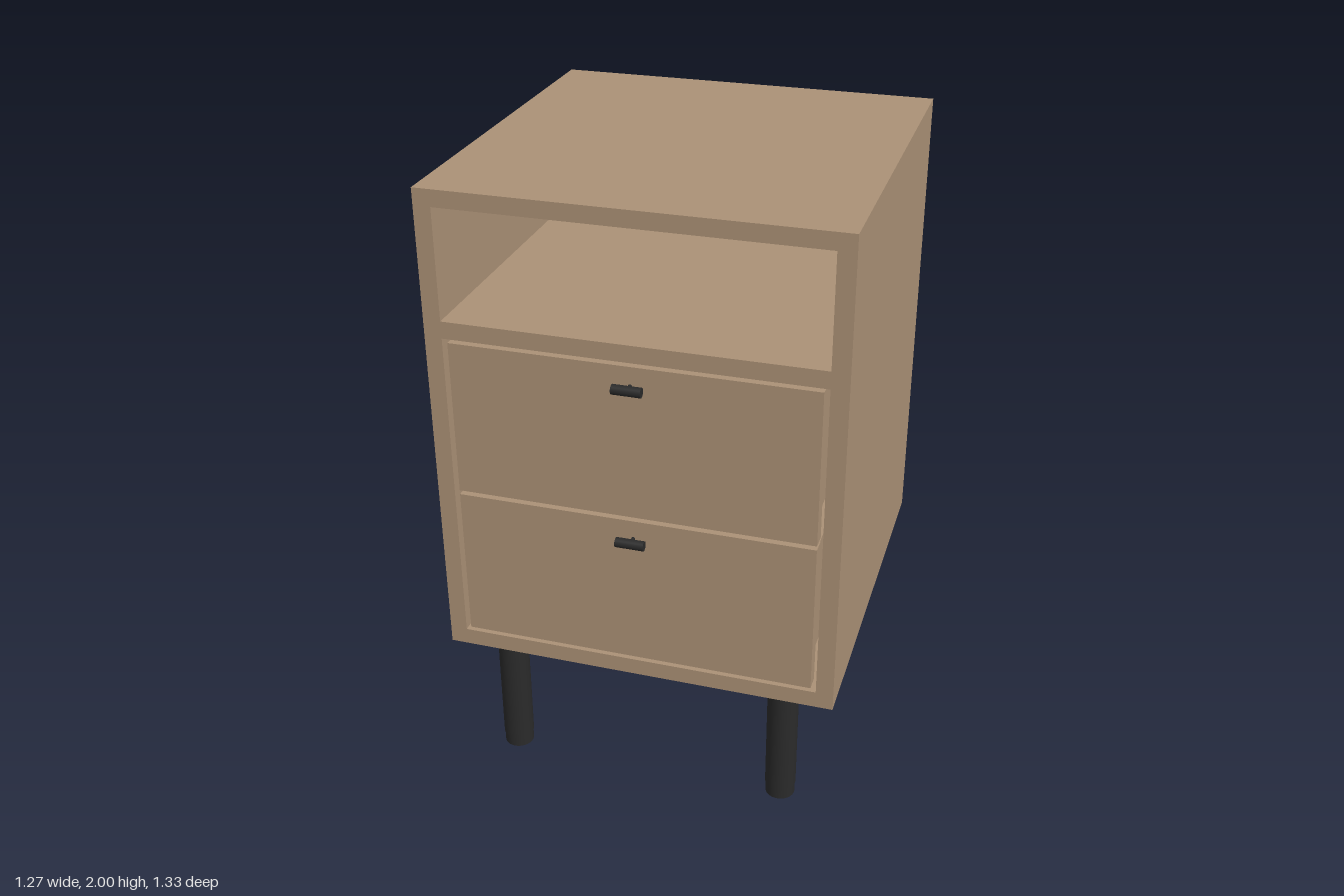
import * as THREE from 'three';

export function createModel() {
  const model = new THREE.Group();
  model.name = 'nightstand';

  const wood = new THREE.MeshStandardMaterial({ color: 0xab9176 });
  wood.name = 'light wood';
  const black = new THREE.MeshStandardMaterial({ color: 0x2a2a2a });
  black.name = 'black metal';

  function add(parent, name, geometry, material, x, y, z) {
    const mesh = new THREE.Mesh(geometry, material);
    mesh.name = name;
    mesh.position.set(x, y, z);
    parent.add(mesh);
    return mesh;
  }

  // Box given by its lower and upper corners
  function board(parent, name, [x0, y0, z0], [x1, y1, z1], material = wood) {
    return add(parent, name, new THREE.BoxGeometry(x1 - x0, y1 - y0, z1 - z0), material,
      (x0 + x1) / 2, (y0 + y1) / 2, (z0 + z1) / 2);
  }

  const W = 0.637, T = 0.055, IN = W - T;
  const FRONT = 0.619, BACK = -0.667;
  const FLOOR = 0.495, CEILING = 1.947;

  // Carcass
  board(model, 'topPanel', [-W, CEILING, BACK], [W, 2, FRONT]);
  board(model, 'bottomPanel', [-W, 0.44, BACK], [W, FLOOR, FRONT]);
  board(model, 'leftSide', [IN, FLOOR, BACK], [W, CEILING, FRONT]);
  board(model, 'rightSide', [-W, FLOOR, BACK], [-IN, CEILING, FRONT]);
  board(model, 'backPanel', [-IN, FLOOR, BACK + 0.002], [IN, CEILING, BACK + 0.05]);
  board(model, 'shelf', [-IN, 1.54, BACK + 0.05], [IN, 1.595, FRONT]);

  // Drawers, each with a front, an open box and a bar handle
  for (const [name, y0, y1] of [['lowerDrawer', 0.508, 1.011], ['upperDrawer', 1.025, 1.528]]) {
    const drawer = new THREE.Group();
    drawer.name = name;
    model.add(drawer);
    board(drawer, 'drawerFront', [-0.565, y0, FRONT - 0.05], [0.565, y1, FRONT]);

    const low = y0 + 0.03, high = y1 - 0.08, rear = -0.55, face = FRONT - 0.05;
    board(drawer, 'drawerBottom', [-0.54, low, rear], [0.54, low + 0.02, face]);
    board(drawer, 'drawerBack', [-0.54, low + 0.02, rear], [0.54, high, rear + 0.03]);
    for (const s of [-1, 1]) {
      add(drawer, 'drawerSide', new THREE.BoxGeometry(0.03, high - low - 0.02, face - rear - 0.03), wood,
        s * 0.525, (high + low + 0.02) / 2, (face + rear + 0.03) / 2);
    }

    const handleY = y1 - 0.061;
    const stem = add(drawer, 'handleStem', new THREE.CylinderGeometry(0.006, 0.006, 0.035, 16), black,
      0, handleY, FRONT + 0.0165);
    stem.rotation.x = Math.PI / 2;
    const bar = add(drawer, 'handleBar', new THREE.CylinderGeometry(0.0155, 0.0155, 0.09, 24), black,
      0, handleY, 0.6515);
    bar.rotation.z = Math.PI / 2;
  }

  // Legs with mounting plates and slightly narrower foot caps
  for (const x of [-0.461, 0.461]) {
    for (const z of [-0.571, 0.527]) {
      const leg = new THREE.Group();
      leg.name = 'leg';
      leg.position.set(x, 0, z);
      model.add(leg);
      add(leg, 'mountingPlate', new THREE.BoxGeometry(0.256, 0.01, 0.152), black, 0, 0.435, 0);
      add(leg, 'legTube', new THREE.CylinderGeometry(0.05, 0.05, 0.39, 32), black, 0, 0.235, 0);
      add(leg, 'footCap', new THREE.CylinderGeometry(0.048, 0.048, 0.04, 32), black, 0, 0.02, 0);
    }
  }

  return model;
}
